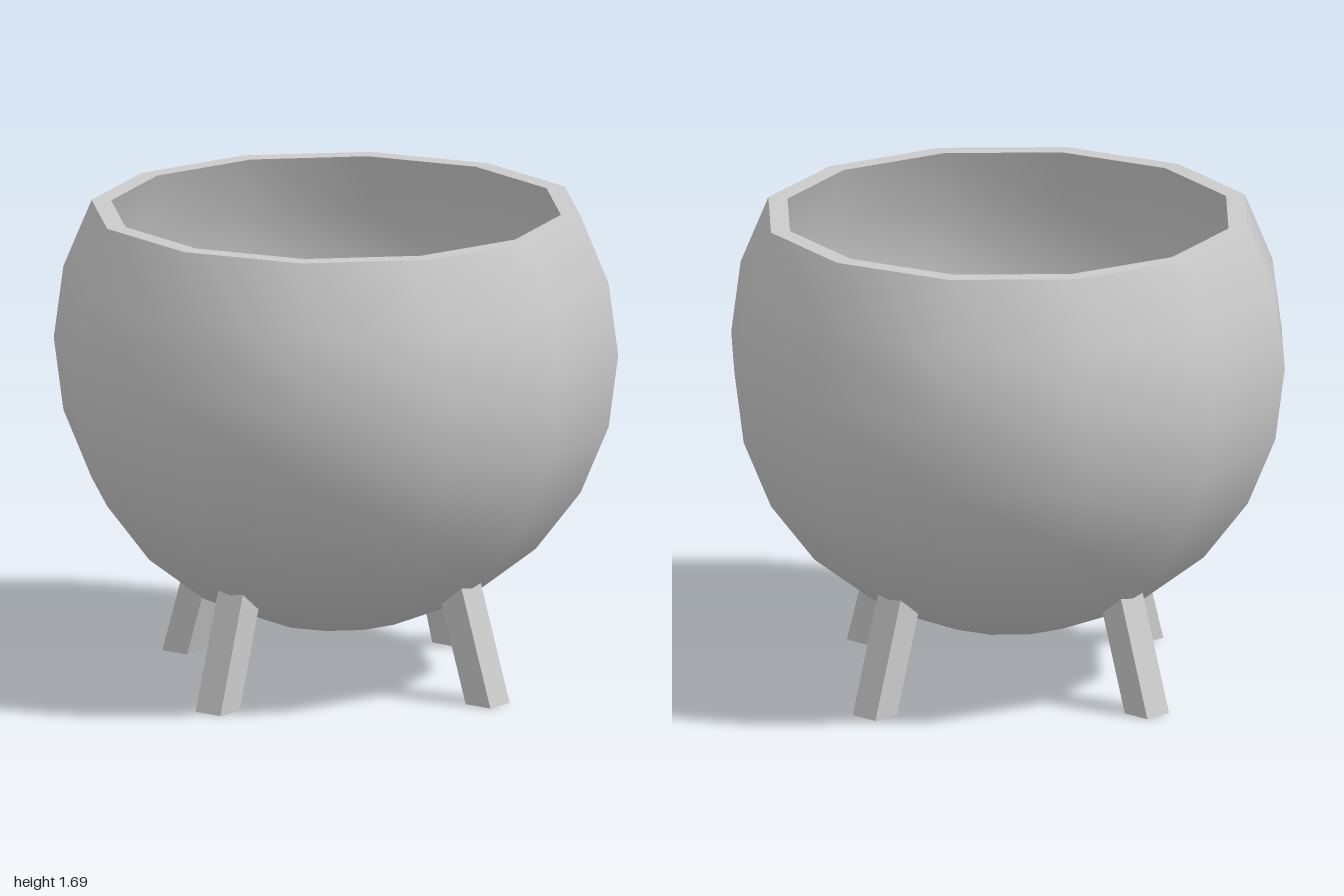
import * as THREE from 'three';

const SIDES = 12, CENTRE = 1.19, RIM = 1.69, INNER = 0.92;

// Profile of a sphere from the bottom pole up to the rim, 15 degrees per step
function bowlProfile() {
  const points = [];
  for (let i = 0; i <= 8; i++) {
    const a = THREE.MathUtils.degToRad(-90 + i * 15);
    points.push(new THREE.Vector2(i === 0 ? 0 : Math.cos(a), CENTRE + Math.sin(a)));
  }
  return points;
}

// Square post with its upper end sheared inward, so the foot stays level
function legGeometry() {
  const height = 0.44, width = 0.11, lean = 0.31;
  const geometry = new THREE.BoxGeometry(width, height, width);
  geometry.translate(0, height / 2, 0);
  const p = geometry.attributes.position;
  for (let i = 0; i < p.count; i++) p.setX(i, p.getX(i) + 0.675 - lean * p.getY(i));
  geometry.computeVertexNormals();
  return geometry;
}

export function createModel() {
  const model = new THREE.Group();
  model.name = 'footedBowl';
  const material = new THREE.MeshStandardMaterial({ color: 0xcccccc });

  const add = (name, geometry, parent = model) => {
    const mesh = new THREE.Mesh(geometry, material);
    mesh.name = name;
    parent.add(mesh);
    return mesh;
  };

  // Bowl: outer wall, flat rim and inner wall, each smooth with sharp edges between
  const bowl = new THREE.Group();
  bowl.name = 'bowl';
  model.add(bowl);
  const outer = bowlProfile();
  const inner = outer
    .map((p) => new THREE.Vector2(p.x * INNER, RIM + (p.y - RIM) * INNER))
    .reverse();
  add('outerWall', new THREE.LatheGeometry(outer, SIDES), bowl);
  add('rim', new THREE.LatheGeometry([outer[outer.length - 1], inner[0]], SIDES), bowl);
  add('innerWall', new THREE.LatheGeometry(inner, SIDES), bowl);

  // Four splayed legs
  const leg = legGeometry();
  ['leftLeg', 'backLeg', 'rightLeg', 'frontLeg'].forEach((name, i) => {
    add(name, leg).rotation.y = (i * Math.PI) / 2;
  });

  return model;
}
